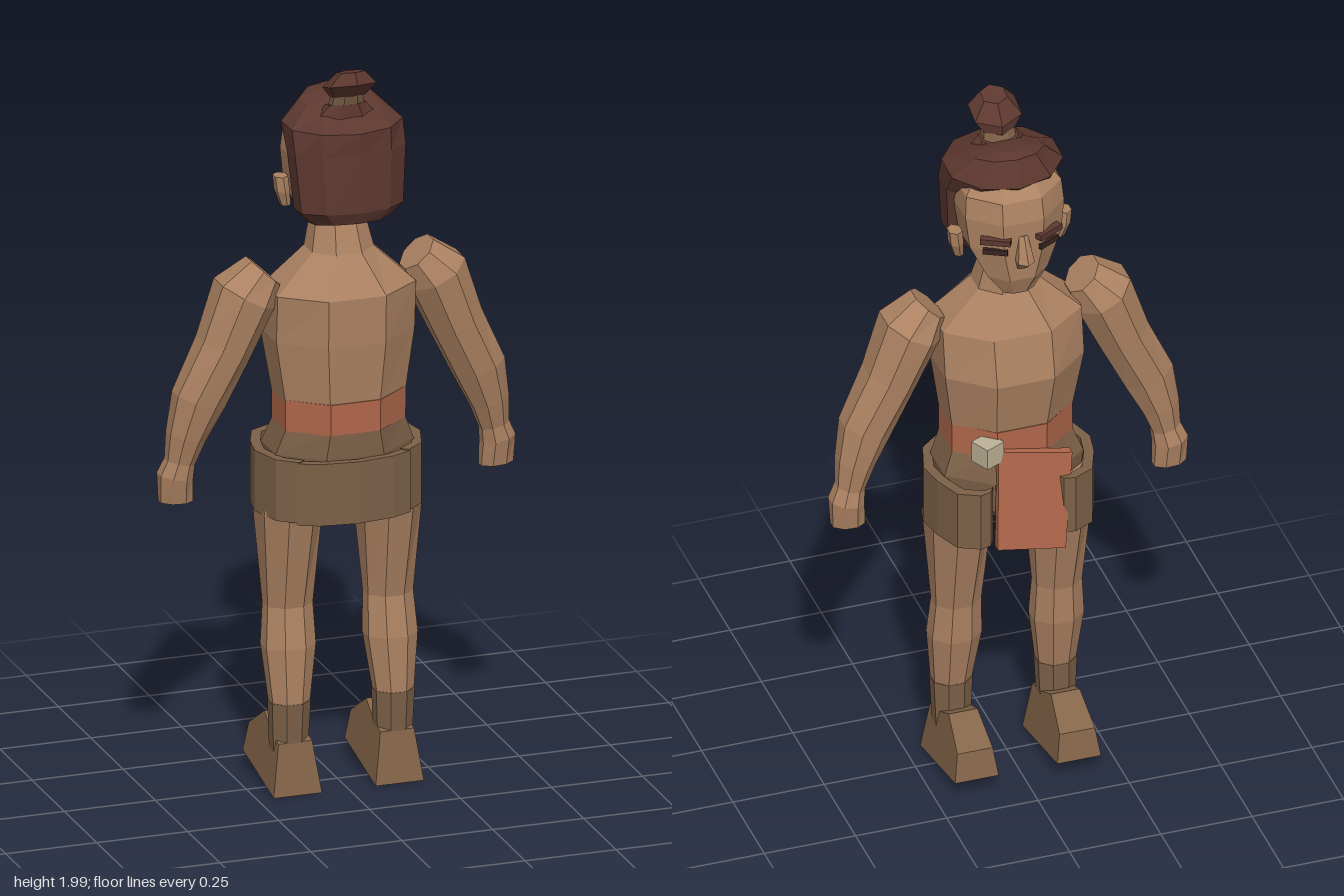
import * as THREE from 'three';

const paint = (name, color) => {
  const m = new THREE.MeshStandardMaterial({ color });
  m.name = name;
  return m;
};

// Loft of horizontal rings, listed bottom to top: [x, y, z, halfX, halfZ, tilt = 0, pitch = 0]
function loft(sections, n = 8) {
  const grow = 1 / Math.cos(Math.PI / n);
  const rings = sections.map(([x, y, z, rx, rz, tilt = 0, pitch = 0]) =>
    Array.from({ length: n }, (_, i) => {
      const a = ((i + 0.5) / n) * Math.PI * 2;
      const u = Math.cos(a) * rx * grow, w = Math.sin(a) * rz * grow;
      return [x + u * Math.cos(tilt), y + u * Math.sin(tilt) + w * pitch, z + w];
    }));
  const pos = [];
  const tri = (...pts) => pts.forEach((p) => pos.push(...p));
  for (let s = 0; s < rings.length - 1; s++) {
    for (let i = 0; i < n; i++) {
      const j = (i + 1) % n;
      const a = rings[s][i], b = rings[s][j], c = rings[s + 1][j], d = rings[s + 1][i];
      tri(a, d, b);
      tri(b, d, c);
    }
  }
  const low = rings[0], top = rings[rings.length - 1];
  for (let i = 1; i < n - 1; i++) {
    tri(low[0], low[i], low[i + 1]);
    tri(top[0], top[i + 1], top[i]);
  }
  const g = new THREE.BufferGeometry();
  g.setAttribute('position', new THREE.Float32BufferAttribute(pos, 3));
  g.computeVertexNormals();
  return g;
}

// Curved upright panel following outer [x, z] points
function panel(points, y0, y1) {
  const inner = points.map(([x, z]) => [x * 0.88, z * 0.88]).reverse();
  const shape = new THREE.Shape([...points, ...inner].map(([x, z]) => new THREE.Vector2(x, -z)));
  const g = new THREE.ExtrudeGeometry(shape, { depth: y1 - y0, bevelEnabled: false });
  g.rotateX(-Math.PI / 2);
  g.translate(0, y0, 0);
  return g;
}

export function createModel() {
  const model = new THREE.Group();
  const skin = paint('skin', 0xac8262);
  const cloth = paint('brown cloth', 0x7c6047);
  const leather = paint('shoe brown', 0x846549);
  const orange = paint('rust cloth', 0xb0674a);
  const hair = paint('hair brown', 0x5d382f);
  const dark = paint('eye dark', 0x38241f);
  const bone = paint('bone', 0xbdb297);

  const add = (name, geometry, material, x = 0, y = 0, z = 0, ry = 0) => {
    const mesh = new THREE.Mesh(geometry, material);
    mesh.name = name;
    mesh.position.set(x, y, z);
    mesh.rotation.y = ry;
    model.add(mesh);
    return mesh;
  };

  // Torso, sash and shorts
  add('torso', loft([
    [0, 1.08, 0.01, 0.165, 0.13], [0, 1.25, 0, 0.19, 0.155], [0, 1.38, 0.015, 0.19, 0.143],
    [0, 1.48, 0.012, 0.085, 0.08], [0, 1.56, 0, 0.068, 0.062], [0, 1.64, -0.01, 0.065, 0.06],
  ]), skin);
  add('sash', loft([[0, 1.005, 0.01, 0.165, 0.133], [0, 1.09, 0.01, 0.165, 0.134]]), orange);
  add('shorts', loft([
    [0, 0.79, 0, 0.08, 0.09], [0, 0.85, 0, 0.18, 0.135],
    [0, 0.94, 0, 0.19, 0.14], [0, 1.01, 0.01, 0.163, 0.13],
  ]), cloth);

  // Skirt panels
  add('backPanel', panel([[-0.155, 0.13], [-0.1, 0.155], [0, 0.168], [0.1, 0.155], [0.155, 0.13]], 0.765, 0.935), cloth);
  const sidePoints = [[0.15, 0.13], [0.2, 0.09], [0.228, 0], [0.215, -0.07], [0.185, -0.145], [0.13, -0.172], [0.1, -0.165]];
  for (const s of [1, -1]) {
    add('sidePanel', panel(sidePoints.map(([x, z]) => [x * s, z]), 0.77, 0.938), cloth);
  }

  // Hanging front cloth and its toggle
  const flapShape = new THREE.Shape([[-0.13, 1.0], [-0.1, 0.73], [0.085, 0.76], [0.07, 1.04]]
    .map(([x, y]) => new THREE.Vector2(x, y)));
  const flap = new THREE.ExtrudeGeometry(flapShape, { depth: 0.022, bevelEnabled: false });
  const fp = flap.attributes.position;
  for (let i = 0; i < fp.count; i++) fp.setZ(i, fp.getZ(i) - 0.14 - (1.04 - fp.getY(i)) * 0.13);
  flap.computeVertexNormals();
  add('frontCloth', flap, orange);
  add('toggle', new THREE.BoxGeometry(0.06, 0.06, 0.06), bone, 0.095, 1.04, -0.125, 0.45);

  // Shoe: side profile extruded across, narrowed toward the top and the toe
  const shoeGeometry = () => {
    const outline = new THREE.Shape([[0.09, 0], [-0.17, 0.045], [-0.155, 0.125], [-0.06, 0.188], [0.01, 0.155], [0.07, 0.14]]
      .map(([z, y]) => new THREE.Vector2(-z, y)));
    const g = new THREE.ExtrudeGeometry(outline, { depth: 0.13, bevelEnabled: false });
    g.translate(0, 0, -0.065);
    g.rotateY(Math.PI / 2);
    const p = g.attributes.position;
    for (let i = 0; i < p.count; i++) p.setX(i, p.getX(i) * (1.02 - p.getY(i) * 2.2));
    g.computeVertexNormals();
    return g;
  };

  for (const s of [1, -1]) {
    const side = s > 0 ? 'left' : 'right';
    // Legs
    add(side + 'Leg', loft([
      [0.143 * s, 0.24, 0.03, 0.05, 0.045], [0.14 * s, 0.4, 0.013, 0.068, 0.06],
      [0.138 * s, 0.51, 0.003, 0.062, 0.053], [0.137 * s, 0.77, 0, 0.08, 0.11],
      [0.115 * s, 0.9, 0, 0.085, 0.11],
    ]), skin);
    add(side + 'AnkleWrap', loft([
      [0.143 * s, 0.08, 0.025, 0.046, 0.042], [0.143 * s, 0.25, 0.029, 0.053, 0.047],
    ]), cloth);
    add(side + 'Shoe', shoeGeometry(), leather, 0.14 * s, 0.005, 0);

    // Arms with mitten hands
    add(side + 'Arm', loft([
      [0.44, 0.82, -0.012, 0.044, 0.03, 0.05], [0.443, 0.89, -0.01, 0.045, 0.042, 0.2],
      [0.432, 0.93, -0.005, 0.038, 0.036, 0.25], [0.417, 1.0, 0, 0.05, 0.048, 0.3],
      [0.385, 1.1, 0.008, 0.068, 0.06, 0.35], [0.318, 1.24, 0.013, 0.07, 0.075, 0.42],
      [0.262, 1.38, 0.015, 0.08, 0.088, 0.5], [0.211, 1.438, 0.018, 0.053, 0.055, 0.75],
    ].map(([x, y, z, rx, rz, t]) => [x * s, y, z, rx, rz, t * s])), skin);

    // Ears, eyes and brows
    add(side + 'Ear', loft([
      [0.138 * s, 1.6, -0.015, 0.012, 0.015], [0.146 * s, 1.64, -0.018, 0.017, 0.025],
      [0.15 * s, 1.68, -0.02, 0.017, 0.022],
    ], 6), skin);
    add(side + 'Brow', new THREE.BoxGeometry(0.08, 0.016, 0.02), hair, 0.073 * s, 1.692, -0.124, -0.48 * s);
    add(side + 'Eye', new THREE.BoxGeometry(0.065, 0.016, 0.009), dark, 0.073 * s, 1.658, -0.122, -0.48 * s);
  }

  // Head and nose
  add('head', loft([
    [0, 1.505, -0.085, 0.04, 0.022], [0, 1.56, -0.06, 0.082, 0.068], [0, 1.65, -0.025, 0.125, 0.108],
    [0, 1.74, -0.015, 0.135, 0.12], [0, 1.8, -0.01, 0.13, 0.112], [0, 1.84, 0, 0.1, 0.08],
  ]), skin);
  add('nose', loft([
    [0, 1.6, -0.125, 0.016, 0.012], [0, 1.63, -0.143, 0.022, 0.028], [0, 1.7, -0.125, 0.012, 0.013],
  ], 6), skin);

  // Hair cap and top knot
  add('hair', loft([
    [0, 1.575, 0.085, 0.1, 0.08, 0, 0.2], [0, 1.615, 0.088, 0.14, 0.09, 0, 0.1],
    [0, 1.77, 0.07, 0.152, 0.1, 0, 0.1], [0, 1.835, 0.035, 0.152, 0.135, 0, 0.04],
    [0, 1.885, 0.005, 0.095, 0.08, 0, -0.2], [0, 1.9, -0.01, 0.04, 0.035, 0, -0.2],
  ], 10), hair);
  add('knotBase', loft([[0, 1.855, 0.055, 0.08, 0.05, 0, 0.1], [0, 1.89, 0.065, 0.05, 0.038, 0, 0.2]]), hair);
  add('knotBand', loft([[0, 1.88, 0.065, 0.045, 0.035, 0, 0.2], [0, 1.925, 0.08, 0.04, 0.033, 0, 0.25]]), cloth);
  add('topKnot', loft([
    [0, 1.915, 0.077, 0.042, 0.035, 0, 0.25], [0, 1.95, 0.095, 0.064, 0.053, 0, 0.3],
    [0, 1.99, 0.105, 0.032, 0.03, 0, 0.25],
  ], 6), hair);

  return model;
}
